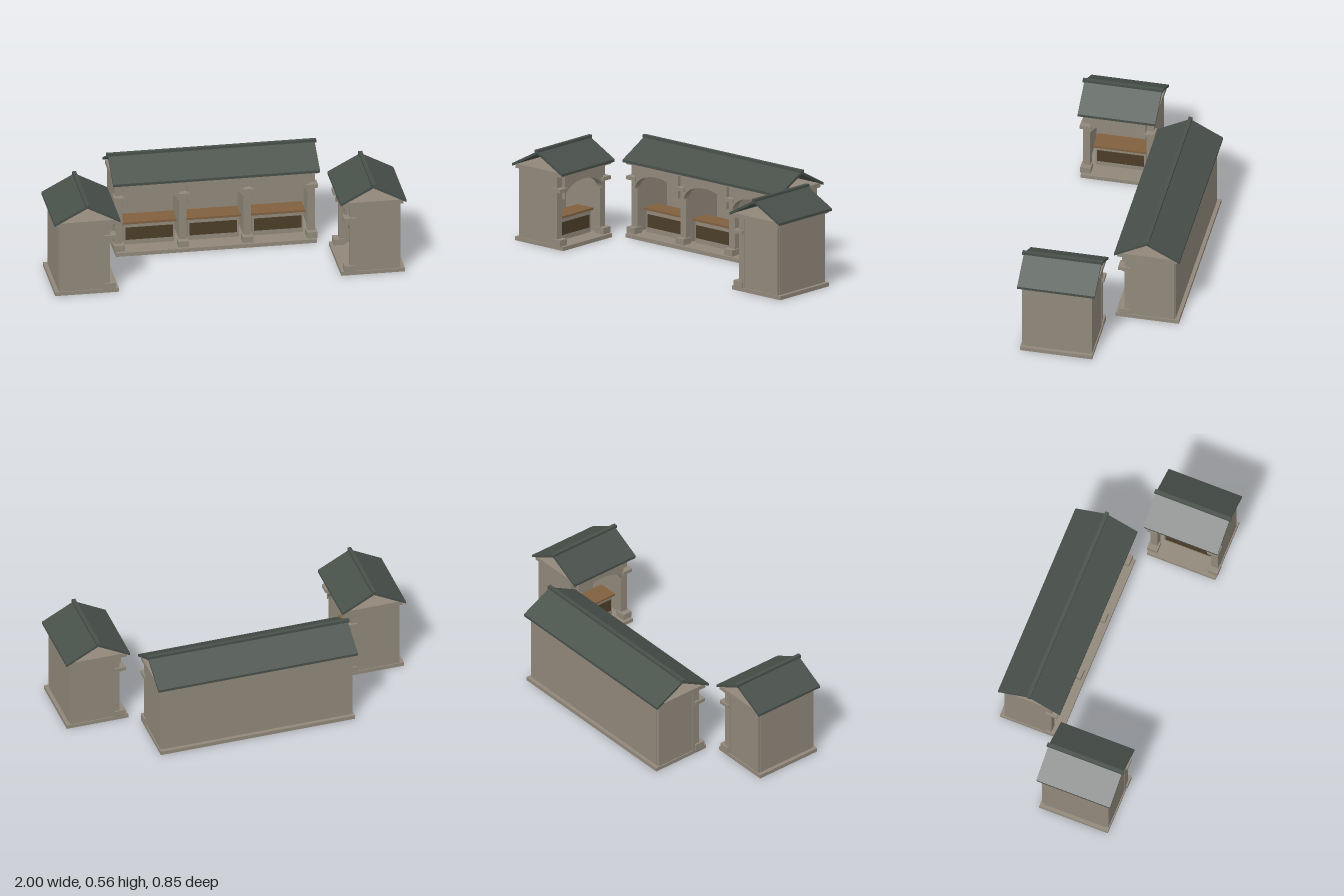
import * as THREE from 'three';

const mat = (name, color) => {
  const m = new THREE.MeshStandardMaterial({ color });
  m.name = name;
  return m;
};
const stone = mat('stone', 0x91887a);
const slate = mat('roof slate', 0x48504a);
const wood = mat('counter wood', 0x80603f);
const darkWood = mat('dark panel', 0x4c3d28);

const PITCH = 0.365; // bay spacing

function add(group, name, geometry, material) {
  const mesh = new THREE.Mesh(geometry, material);
  mesh.name = name;
  group.add(mesh);
  return mesh;
}

// Box given by its min and max on each axis
function box(group, name, material, [x0, x1], [y0, y1], [z0, z1]) {
  const mesh = add(group, name, new THREE.BoxGeometry(x1 - x0, y1 - y0, z1 - z0), material);
  mesh.position.set((x0 + x1) / 2, (y0 + y1) / 2, (z0 + z1) / 2);
}

// Arched panel that fills the top of one bay
function archGeometry() {
  const w = 0.161, spring = 0.285, top = 0.424;
  const s = new THREE.Shape();
  s.moveTo(w, spring);
  s.lineTo(w, top);
  s.lineTo(-w, top);
  s.lineTo(-w, spring);
  s.absellipse(0, spring, w - 0.002, 0.09, Math.PI, 0, true);
  return new THREE.ExtrudeGeometry(s, { depth: 0.044, bevelEnabled: false, curveSegments: 24 });
}

// Two thin slopes meeting at the ridge, open at the gables
function roofGeometry(half) {
  const s = new THREE.Shape([
    [-0.187, 0.434], [0, 0.533], [0.187, 0.434], [0.187, 0.449], [0, 0.549], [-0.187, 0.449],
  ].map(([x, y]) => new THREE.Vector2(x, y)));
  const g = new THREE.ExtrudeGeometry(s, { depth: 2 * half, bevelEnabled: false });
  return g.translate(0, 0, -half).rotateY(Math.PI / 2);
}

// A stall with its open side towards +z
function createStall(name, bays) {
  const stall = new THREE.Group();
  stall.name = name;
  const h = bays * PITCH / 2; // outer column centres

  box(stall, 'base', stone, [-h - 0.024, h + 0.024], [0, 0.022], [-0.181, 0.181]);
  box(stall, 'backWall', stone, [-h - 0.001, h + 0.001], [0.022, 0.422], [-0.16, -0.142]);
  box(stall, 'ceilingSlab', stone, [-h - 0.028, h + 0.028], [0.422, 0.447], [-0.171, 0.171]);

  // Columns with plinths and capitals, each with a wall behind
  for (let i = 0; i <= bays; i++) {
    const x = -h + i * PITCH;
    const shift = i === 0 ? -0.009 : i === bays ? 0.009 : 0;
    box(stall, 'columnShaft', stone, [x - 0.021, x + 0.021], [0.022, 0.422], [0.088, 0.131]);
    box(stall, 'columnPlinth', stone, [x - 0.03, x + 0.03], [0.022, 0.058], [0.101, 0.163]);
    box(stall, 'columnCapital', stone, [x - 0.032, x + 0.032], [0.332, 0.353], [0.098, 0.165]);
    box(stall, i % bays ? 'partitionWall' : 'sideWall', stone,
      [x + shift - 0.009, x + shift + 0.009], [0.022, 0.422], [-0.156, 0.1]);
  }

  // Arch and counter in each bay
  for (let i = 0; i < bays; i++) {
    const x = -h + (i + 0.5) * PITCH;
    add(stall, 'arch', archGeometry(), stone).position.set(x, 0, 0.109);
    box(stall, 'counterBody', stone, [x - 0.145, x + 0.145], [0.022, 0.153], [-0.02, 0.072]);
    box(stall, 'counterPanel', darkWood, [x - 0.134, x + 0.134], [0.052, 0.126], [0.07, 0.077]);
    box(stall, 'counterTop', wood, [x - 0.153, x + 0.153], [0.153, 0.165], [-0.03, 0.09]);
  }

  // Roof and ridge cap
  add(stall, 'roof', roofGeometry(h + 0.0395), slate);
  box(stall, 'ridgeCap', slate, [-h - 0.048, h + 0.048], [0.54, 0.558], [-0.011, 0.011]);
  return stall;
}

export function createModel() {
  const model = new THREE.Group();
  model.name = 'marketStalls';

  const main = createStall('mainStall', 3);
  main.position.z = -0.237;
  model.add(main);

  // Small stalls face each other across the court
  for (const side of [-1, 1]) {
    const stall = createStall(side > 0 ? 'leftStall' : 'rightStall', 1);
    stall.position.set(side * 0.8125, 0, 0.195);
    stall.rotation.y = -side * Math.PI / 2;
    model.add(stall);
  }
  return model;
}
